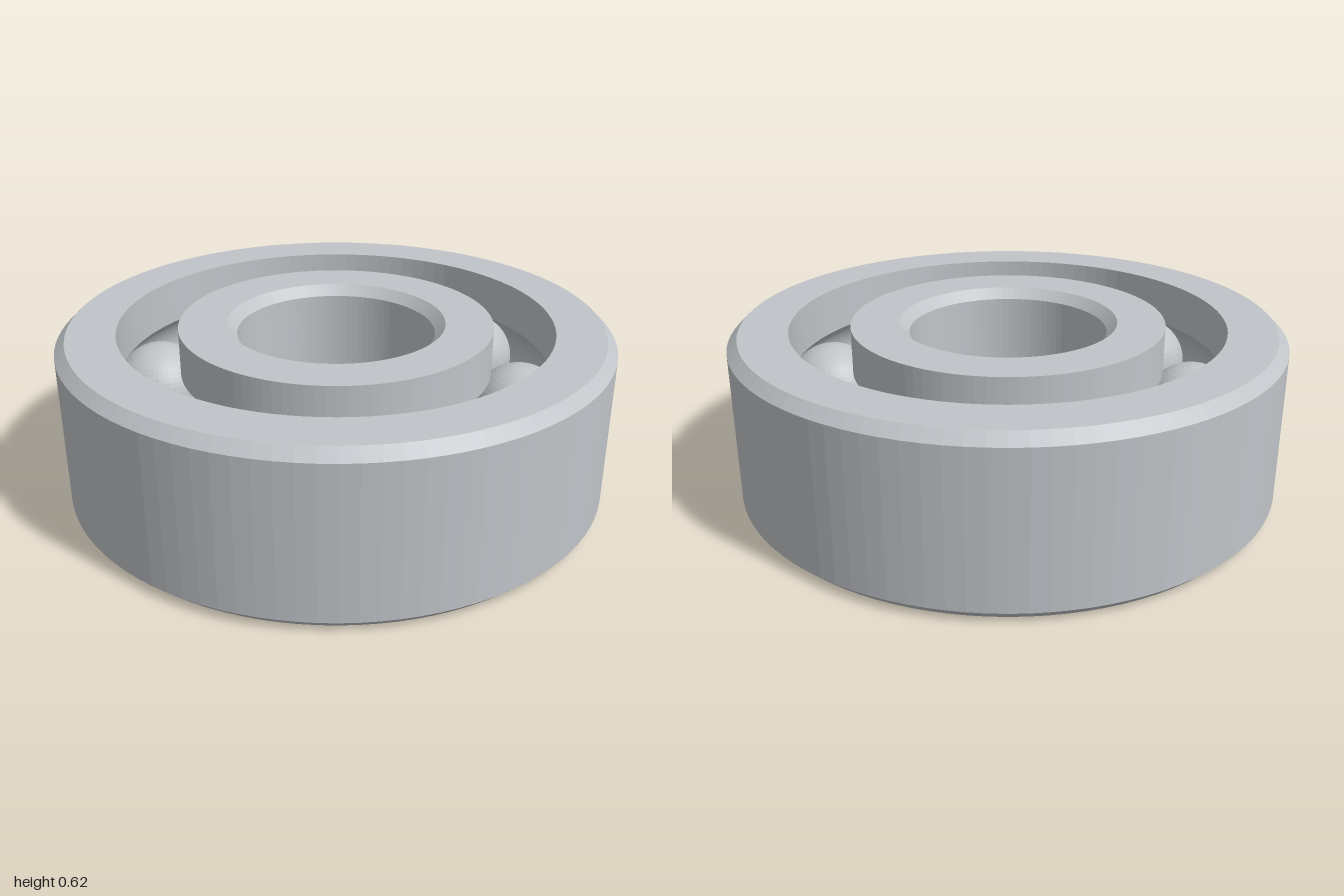
import * as THREE from 'three';

const H = 0.62, MID = H / 2;        // ring height and mid plane
const BORE = 0.36, INNER = 0.57;    // inner ring radii
const OUTER_IN = 0.787, OUTER = 1;  // outer ring radii
const CHAMFER = 0.037;
const PITCH = (INNER + OUTER_IN) / 2, BALL = 0.172;

// Facet a geometry so every face keeps its own normal
function faceted(geometry) {
  const g = geometry.toNonIndexed();
  g.computeVertexNormals();
  return g;
}

// Groove arc in the wall at radius r; side +1 cuts outward, -1 cuts inward.
// Points run from bottom to top.
function groove(r, side) {
  const gr = BALL + 0.003;
  const a = Math.acos(Math.abs(r - PITCH) / gr);
  const pts = [];
  const n = 20;
  for (let i = 0; i <= n; i++) {
    const t = -a + (2 * a * i) / n;
    pts.push([PITCH + side * gr * Math.cos(t), MID + gr * Math.sin(t)]);
  }
  return pts;
}

// Revolve a closed counterclockwise profile
function ring(name, profile, material) {
  const pts = [...profile, profile[0]].map(([x, y]) => new THREE.Vector2(x, y));
  const mesh = new THREE.Mesh(faceted(new THREE.LatheGeometry(pts, 100)), material);
  mesh.name = name;
  return mesh;
}

export function createModel() {
  const model = new THREE.Group();
  model.name = 'ballBearing';
  const steel = new THREE.MeshStandardMaterial({ color: 0xc0c4c8 });
  steel.name = 'steel';

  // Outer ring: chamfered outside, grooved inside
  model.add(ring('outerRing', [
    [OUTER_IN, 0], [OUTER - CHAMFER, 0], [OUTER, CHAMFER],
    [OUTER, H - CHAMFER], [OUTER - CHAMFER, H], [OUTER_IN, H],
    ...groove(OUTER_IN, 1).reverse(),
  ], steel));

  // Inner ring: grooved outside, chamfered bore
  model.add(ring('innerRing', [
    [BORE + CHAMFER, 0], [INNER, 0],
    ...groove(INNER, -1),
    [INNER, H], [BORE + CHAMFER, H], [BORE, H - CHAMFER], [BORE, CHAMFER],
  ], steel));

  // Eight balls between the rings
  const ballGeometry = faceted(new THREE.SphereGeometry(BALL, 48, 28));
  const balls = new THREE.Group();
  balls.name = 'balls';
  for (let i = 0; i < 8; i++) {
    const a = (i * Math.PI) / 4;
    const ball = new THREE.Mesh(ballGeometry, steel);
    ball.name = 'ball';
    ball.position.set(PITCH * Math.cos(a), MID, PITCH * Math.sin(a));
    balls.add(ball);
  }
  model.add(balls);
  return model;
}
